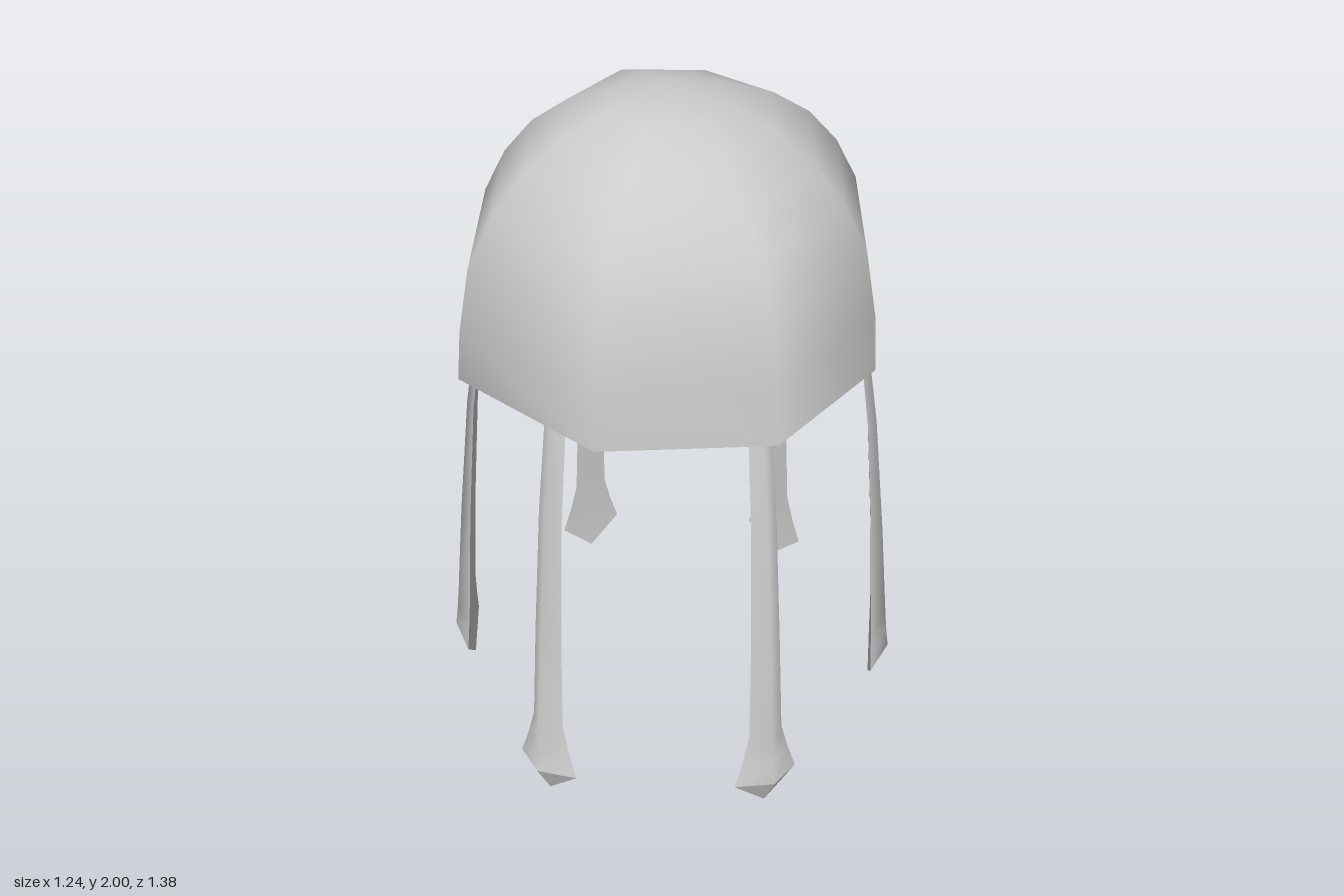
import * as THREE from 'three';
import { mergeVertices } from 'three/addons/utils/BufferGeometryUtils.js';

const grey = new THREE.MeshStandardMaterial({ color: 0xcccccc, side: THREE.DoubleSide });
grey.name = 'pale grey';

// Eight-sided dome whose corners alternate between long and short
function bellGeometry() {
  const profile = [
    [0.62, 1.305], [0.605, 1.45], [0.57, 1.625], [0.5, 1.755], [0.41, 1.858],
    [0.3, 1.935], [0.17, 1.985], [0.08, 1.997], [0, 2],
  ].map(([r, y]) => new THREE.Vector2(r, y));
  let geo = new THREE.LatheGeometry(profile, 8);
  const p = geo.attributes.position;
  for (let i = 0; i < p.count; i++) {
    const x = p.getX(i), y = p.getY(i), z = p.getZ(i);
    const diagonal = Math.min(Math.abs(x), Math.abs(z)) > 0.01;
    if (!diagonal) continue;
    const drop = y < 1.31 ? 0.025 : 0;
    p.setXYZ(i, x * 0.94, y - drop, z * 0.94);
  }
  geo.deleteAttribute('uv');
  geo.deleteAttribute('normal');
  geo = mergeVertices(geo, 1e-4);
  geo.computeVertexNormals();
  return geo;
}

// Adds a strip of quads; rows run top to bottom, points left to right
function addStrip(rows, positions, indices) {
  const start = positions.length / 3, n = rows[0].length;
  rows.forEach(row => row.forEach(pt => positions.push(...pt)));
  for (let i = 0; i < rows.length - 1; i++) {
    for (let j = 0; j < n - 1; j++) {
      const a = start + i * n + j, b = a + 1, c = a + n, d = c + 1;
      indices.push(a, c, b, b, c, d);
    }
  }
}

// Triangular ribbon with a rounded outer ridge, flat inside and a flared tip
function tentacleGeometry() {
  // height, inner radius, half width, ridge depth
  const sections = [
    [1.93, 0.15, 0.012, 0.01], [1.87, 0.29, 0.018, 0.012], [1.7, 0.41, 0.024, 0.014],
    [1.5, 0.48, 0.03, 0.016], [1.28, 0.525, 0.034, 0.02], [1.0, 0.565, 0.038, 0.025],
    [0.6, 0.602, 0.045, 0.035], [0.28, 0.625, 0.052, 0.045], [0.19, 0.63, 0.073, 0.05],
    [0.1, 0.635, 0.1, 0.055],
  ];
  const front = sections.map(([y, r, w, d], i) => {
    const ridgeY = i === sections.length - 1 ? y + 0.02 : y;
    return [[-w, y, r], [0, ridgeY, r + d], [w, y, r]];
  });
  const tip = [0, 0, 0.635];
  const [L, M, R] = front[front.length - 1];
  const positions = [], indices = [];
  addStrip(front, positions, indices);
  addStrip([...front.map(([l, , r]) => [r, l]), [tip, tip]], positions, indices);
  addStrip([[L, M], [tip, tip]], positions, indices);
  addStrip([[M, R], [tip, tip]], positions, indices);
  const geo = new THREE.BufferGeometry();
  geo.setAttribute('position', new THREE.Float32BufferAttribute(positions, 3));
  geo.setIndex(indices);
  geo.computeVertexNormals();
  return geo;
}

export function createModel() {
  const model = new THREE.Group();
  model.name = 'jellyfish';

  const bell = new THREE.Mesh(bellGeometry(), grey);
  bell.name = 'bell';
  model.add(bell);

  // Six tentacles in a ring
  const ribbon = tentacleGeometry();
  for (let i = 0; i < 6; i++) {
    const tentacle = new THREE.Mesh(ribbon, grey);
    tentacle.name = 'tentacle' + (i + 1);
    tentacle.rotation.y = i * Math.PI / 3;
    model.add(tentacle);
  }

  // Small crystals floating under the bell
  const specks = new THREE.Group();
  specks.name = 'floatingSpecks';
  const crystal = new THREE.OctahedronGeometry(0.022, 0);
  [
    [0, 1.09, 0], [0, 1.21, 0.07], [-0.22, 1.26, -0.02], [0.19, 1.27, -0.17],
    [0.14, 1.3, -0.05], [0.03, 1.64, -0.03], [0.05, 1.58, -0.05], [0.01, 1.55, -0.01],
    [0.08, 1.52, -0.08], [0.1, 1.45, -0.1], [0.02, 1.45, -0.02], [0.06, 1.36, -0.06],
    [-0.1, 1.49, 0.1], [-0.22, 1.57, 0.22], [0.27, 1.5, -0.27],
  ].forEach(([x, y, z], i) => {
    const speck = new THREE.Mesh(crystal, grey);
    speck.name = 'speck' + (i + 1);
    speck.position.set(x, y, z);
    speck.rotation.set(i * 1.3, i * 2.1, i * 0.7);
    speck.scale.set(0.7, 1, 0.6);
    specks.add(speck);
  });
  model.add(specks);
  return model;
}
